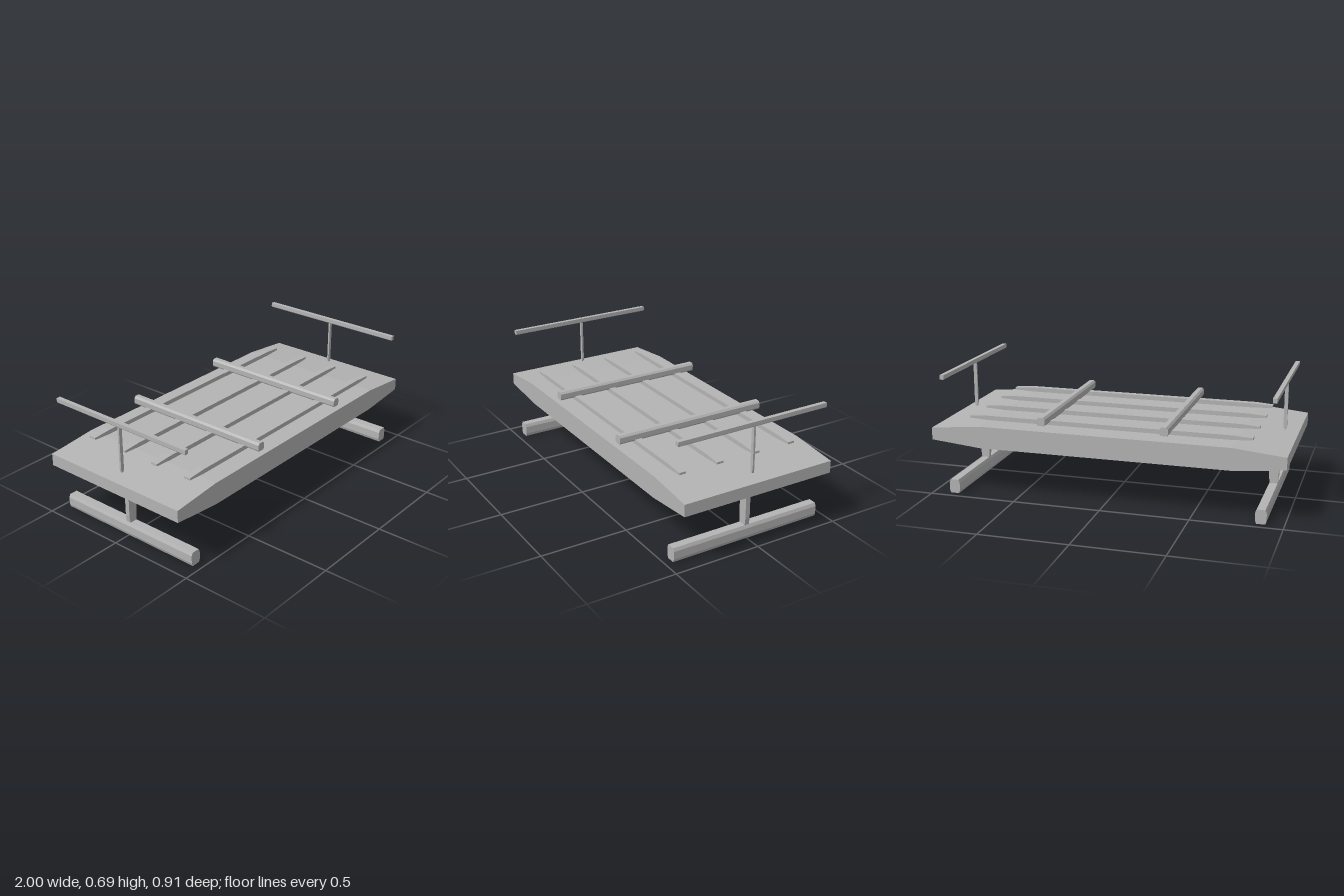
import * as THREE from 'three';

const grey = new THREE.MeshStandardMaterial({ color: 0xb4b4b4, flatShading: true });
grey.name = 'plain grey';

// Extrude an x/y outline along z, centred on z
function prism(name, outline, depth, x = 0, z = 0) {
  const shape = new THREE.Shape(outline.map(([px, py]) => new THREE.Vector2(px, py)));
  const geometry = new THREE.ExtrudeGeometry(shape, { depth, bevelEnabled: false });
  geometry.translate(0, 0, -depth / 2);
  const mesh = new THREE.Mesh(geometry, grey);
  mesh.name = name;
  mesh.position.set(x, 0, z);
  return mesh;
}

// Symmetric outline from [halfWidth, y] pairs listed bottom to top
function mirrored(half) {
  return [...half, ...half.slice().reverse().map(([x, y]) => [-x, y])];
}

export function createModel() {
  const model = new THREE.Group();
  model.name = 'slattedTable';
  const length = 0.91;

  // Thick deck with tapered ends
  model.add(prism('deck', mirrored([[0.71, 0.28], [1, 0.308], [1, 0.377], [0.71, 0.405]]), length));

  // Four slats floating over the deck
  const slat = mirrored([[0.7, 0.42], [0.805, 0.426], [0.805, 0.438], [0.7, 0.445]]);
  for (const z of [-0.342, -0.114, 0.114, 0.342]) model.add(prism('slat', slat, 0.04, 0, z));

  // Chamfered bars running front to back
  const crossbar = mirrored([[0.019, 0.438], [0.023, 0.446], [0.023, 0.474], [0.013, 0.485]]);
  const handrail = mirrored([[0.01, 0.659], [0.012, 0.663], [0.012, 0.685]]);
  const foot = mirrored([[0.024, 0], [0.031, 0.018], [0.031, 0.062], [0.023, 0.08]]);

  // Uprights, narrowed at their ends
  const post = mirrored([[0.006, 0.397], [0.01, 0.42], [0.01, 0.64], [0.008, 0.661]]);
  const leg = mirrored([[0.022, 0.078], [0.027, 0.12], [0.027, 0.297]]);

  for (const side of [-1, 1]) {
    model.add(
      prism('crossbar', crossbar, length, side * 0.345),
      prism('handrail', handrail, length, side * 0.925),
      prism('railPost', post, 0.011, side * 0.925),
      prism('leg', leg, 0.027, side * 0.875),
      prism('foot', foot, length, side * 0.875),
    );
  }
  return model;
}
